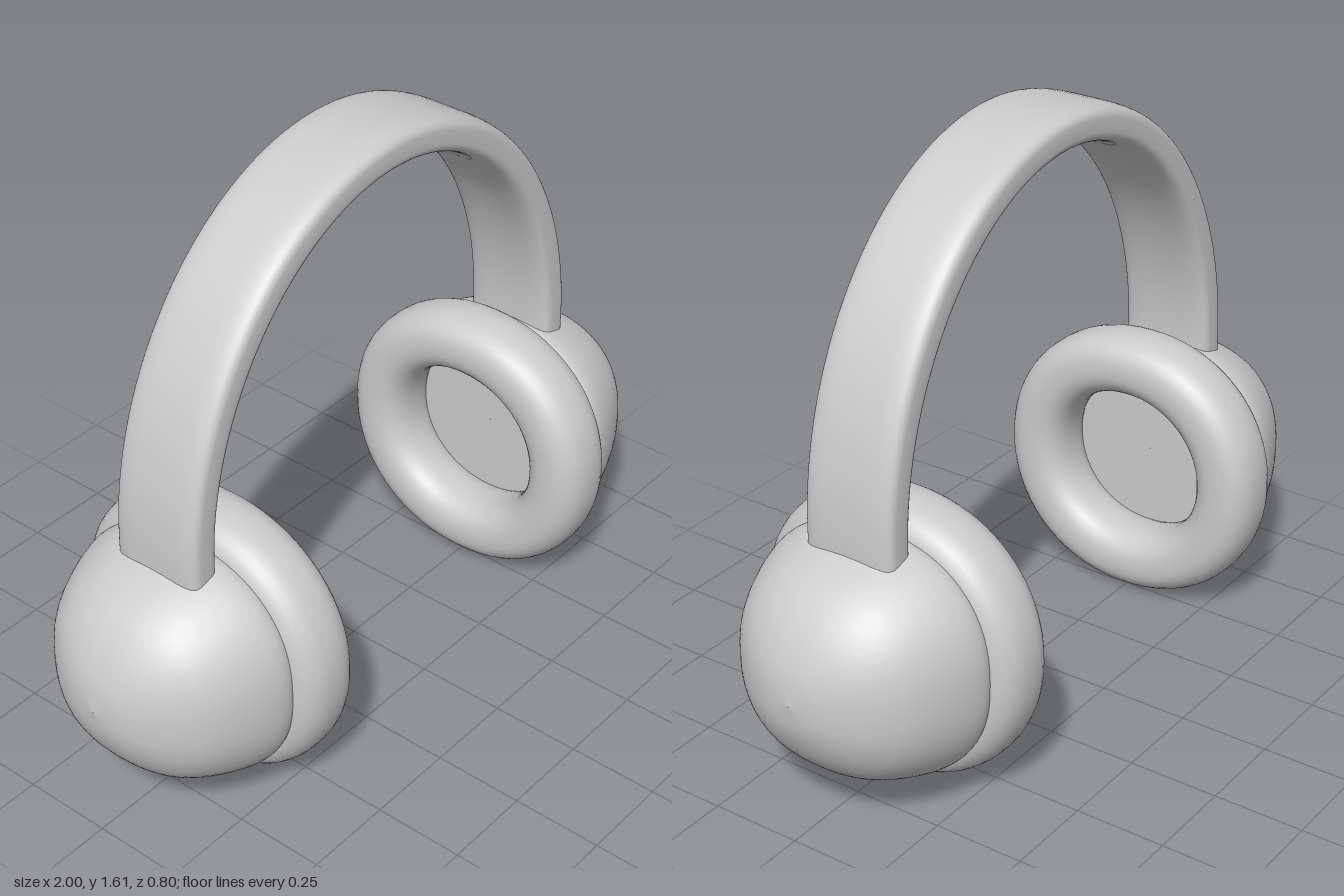
import * as THREE from 'three';

const material = new THREE.MeshStandardMaterial({ color: 0xcccccc, side: THREE.DoubleSide });

// Point on a superellipse: n = 2 is an ellipse, larger n is squarer
function superPoint(angle, a, b, n) {
  const c = Math.cos(angle), s = Math.sin(angle);
  return [
    a * Math.sign(c) * Math.abs(c) ** (2 / n),
    b * Math.sign(s) * Math.abs(s) ** (2 / n),
  ];
}

// Skin a list of equal-length closed rings; loop joins the last ring to the first
function loft(name, rings, loop = false) {
  const count = rings[0].length;
  const index = [];
  const last = loop ? rings.length : rings.length - 1;
  for (let i = 0; i < last; i++) {
    const next = (i + 1) % rings.length;
    for (let j = 0; j < count; j++) {
      const k = (j + 1) % count;
      const a = i * count + j, b = i * count + k;
      const c = next * count + j, d = next * count + k;
      index.push(a, b, c, b, d, c);
    }
  }
  const geometry = new THREE.BufferGeometry();
  geometry.setAttribute('position', new THREE.Float32BufferAttribute(rings.flat(2), 3));
  geometry.setIndex(index);
  geometry.computeVertexNormals();
  const mesh = new THREE.Mesh(geometry, material);
  mesh.name = name;
  return mesh;
}

const range = (n, fn) => Array.from({ length: n }, (_, i) => fn(i, (i / n) * Math.PI * 2));

// Domed shell: a squarish round section swept along x through a smooth profile
function earCup() {
  const dome = new THREE.CatmullRomCurve3([
    [0.61, 0.31], [0.635, 0.335], [0.67, 0.343], [0.765, 0.318], [0.87, 0.262],
    [0.94, 0.185], [0.985, 0.09], [1, 0.001],
  ].map(([x, r]) => new THREE.Vector3(x, r, 0)), false, 'centripetal').getPoints(40);
  // Flat inner face, then the dome
  const profile = [[0.61, 0.001], [0.61, 0.15], [0.61, 0.27], ...dome.map((p) => [p.x, p.y])];
  return loft('earCup', profile.map(([x, r]) => range(72, (_, t) => {
    const [y, z] = superPoint(t, r * 0.965, r, 2.3);
    return [x, 0.392 + y, z];
  })));
}

// Soft ring with a padded section
function earCushion() {
  return loft('earCushion', range(80, (_, t) => range(32, (_, s) => {
    const [dx, dr] = superPoint(s, 0.102, 0.09, 2.4);
    const r = 0.31 + dr;
    const [y, z] = superPoint(t, r * 0.975, r, 2.1);
    return [0.547 + dx, 0.39 + y, z];
  })), true);
}

// Flat strap with rounded edges following a half ellipse with short straight ends
function headband() {
  const a = 0.717, b = 0.84, baseY = 0.72;
  const stations = [[a, 0.62, 1, 0]];
  for (let i = 0; i <= 64; i++) {
    const t = (i / 64) * Math.PI;
    const c = Math.cos(t), s = Math.sin(t);
    const normal = new THREE.Vector2(c / a, s / b).normalize();
    stations.push([a * c, baseY + b * s, normal.x, normal.y]);
  }
  stations.push([-a, 0.62, -1, 0]);
  return loft('headband', stations.map(([x, y, nx, ny]) => range(48, (_, s) => {
    const [out, z] = superPoint(s, 0.052, 0.134, 4);
    return [x + nx * out, y + ny * out, -z];
  })));
}

export function createModel() {
  const model = new THREE.Group();
  model.name = 'headphones';
  // The second earpiece is the first one turned half round
  for (const [name, turn] of [['leftEarpiece', 0], ['rightEarpiece', Math.PI]]) {
    const earpiece = new THREE.Group();
    earpiece.name = name;
    earpiece.rotation.y = turn;
    earpiece.add(earCup(), earCushion());
    model.add(earpiece);
  }
  model.add(headband());
  return model;
}
